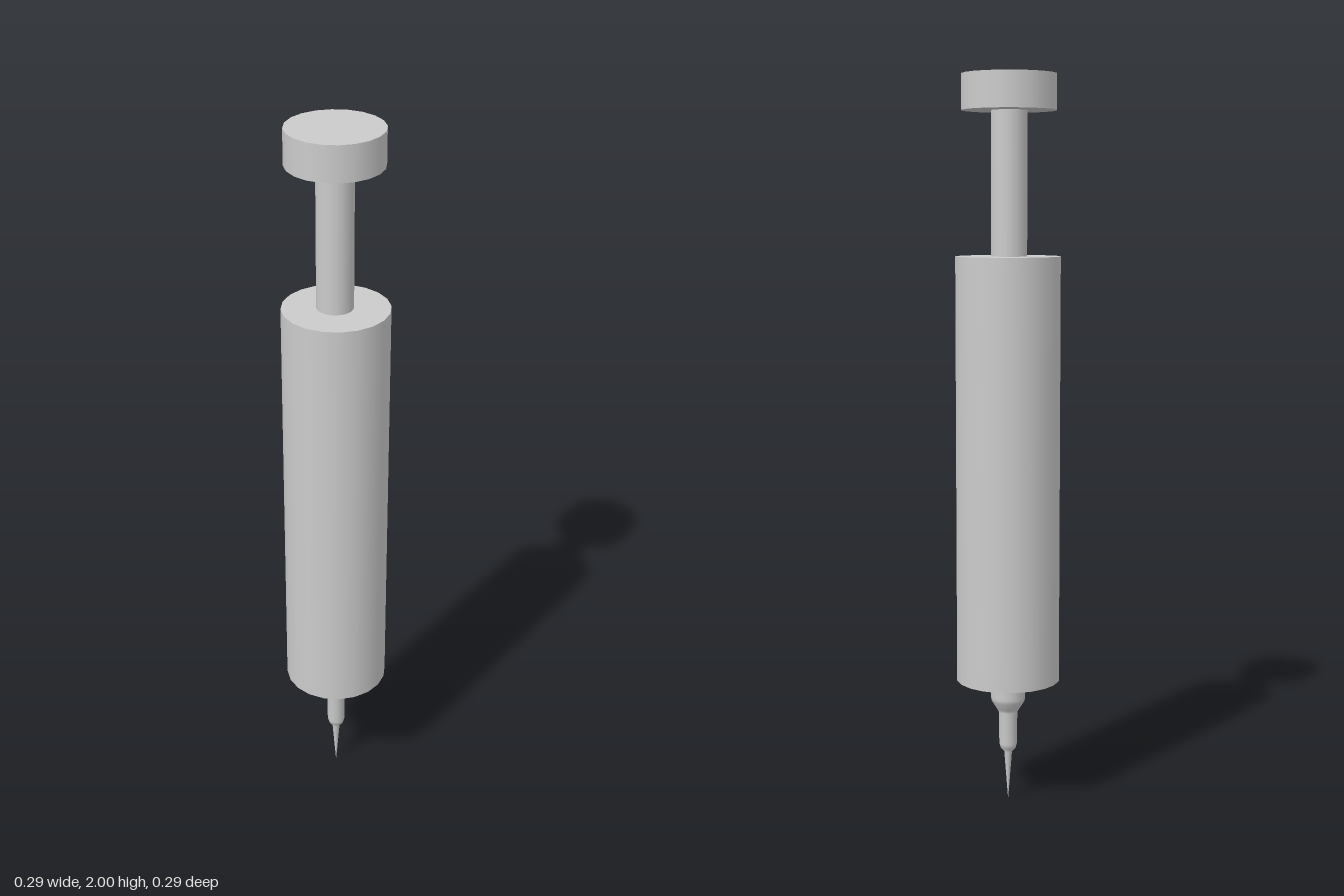
import * as THREE from 'three';

const SIDES = 20;

export function createModel() {
  const group = new THREE.Group();
  const grey = new THREE.MeshStandardMaterial({ color: 0xcccccc });
  const tinted = new THREE.MeshStandardMaterial({ color: 0xc0bcbe });

  // Upright cylinder between two heights
  function tube(name, radius, y0, y1, material = grey, x = 0, open = false) {
    const geometry = new THREE.CylinderGeometry(radius, radius, y1 - y0, SIDES, 1, open);
    const mesh = new THREE.Mesh(geometry, material);
    mesh.name = name;
    mesh.position.set(x, (y0 + y1) / 2, 0);
    group.add(mesh);
  }

  // Barrel: tinted wall between two plain end caps
  tube('barrelBottomCap', 0.143, 0.35, 0.365);
  tube('barrelWall', 0.143, 0.365, 1.48, tinted, 0, true);
  tube('barrelTopCap', 0.143, 1.48, 1.52);

  // Plunger, set slightly off the barrel's axis
  tube('plungerRod', 0.049, 1.5, 1.91, grey, -0.004);
  tube('plungerHead', 0.128, 1.905, 2, grey, -0.004);

  // Stepped nozzle running down into a sharp needle
  const profile = [
    [0, 0], [0.004, 0.05], [0.011, 0.14], [0.021, 0.15], [0.025, 0.165],
    [0.026, 0.255], [0.032, 0.265], [0.046, 0.287], [0.048, 0.298], [0.048, 0.352],
  ].map(([r, y]) => new THREE.Vector2(r, y));
  const nozzle = new THREE.Mesh(new THREE.LatheGeometry(profile, SIDES), grey);
  nozzle.name = 'nozzleAndNeedle';
  group.add(nozzle);

  return group;
}
